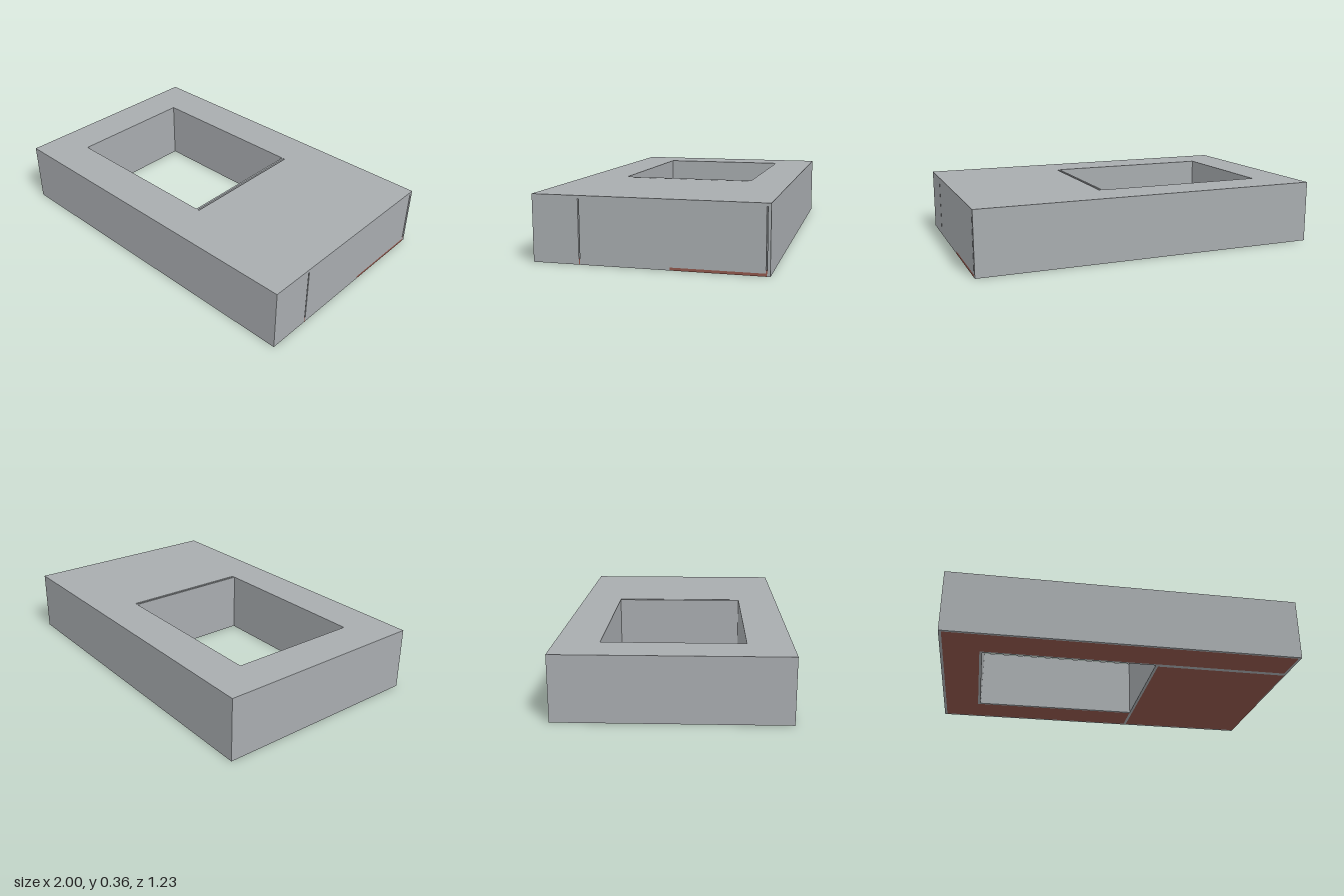
import * as THREE from 'three';

const grey = new THREE.MeshStandardMaterial({ color: 0xa8acaf });
grey.name = 'wall grey';
const brown = new THREE.MeshStandardMaterial({ color: 0x91574c });
brown.name = 'floor brown';

const X = 1, Z = 0.617;      // half extents of the block
const T = 0.015;             // wall and floor thickness
const ROOF = 0.34, TOP = 0.357;
const SEAM = 0.006;          // width and inset of the side panel seams
const SEAMS = [-0.602, 0.36];

// Turns a plan outline of [x, z] points into shape points.
// Every outline runs the same way round; holes are reversed so they face inward.
const plan = (points) => points.map(([x, z]) => new THREE.Vector2(x, -z));
const rect = (x0, x1, z0, z1) => [[x0, z0], [x1, z0], [x1, z1], [x0, z1]];

// Raises a plan outline, with optional holes, from y0 to y1
function slab(name, material, outline, holes, y0, y1) {
  const shape = new THREE.Shape(plan(outline));
  holes.forEach((h) => shape.holes.push(new THREE.Path(plan(h).reverse())));
  const geometry = new THREE.ExtrudeGeometry(shape, { depth: y1 - y0, bevelEnabled: false });
  geometry.rotateX(-Math.PI / 2).translate(0, y0, 0);
  const mesh = new THREE.Mesh(geometry, material);
  mesh.name = name;
  return mesh;
}

export function createModel() {
  const group = new THREE.Group();
  group.name = 'courtyardBlock';

  const courtyard = rect(-0.77, 0.214, -0.38, 0.38);
  const roofSlot = rect(0.225, 0.235, -0.38, 0.38);

  // Floor of the main room; parts of its edge show on the side face
  const roomFloor = [
    [0.23, -0.6], [X, -0.6], [X, -0.115], [X - SEAM, -0.115],
    [X - SEAM, 0.36], [X, 0.36], [X, 0.366], [0.23, 0.366],
  ];

  // Floor wrapping the other three sides of the courtyard
  const wingFloor = [
    [-X + T, -Z + T], [0.214, -Z + T], [0.214, -0.395], [-0.785, -0.395],
    [-0.785, 0.395], [X - T, 0.395], [X - T, Z - T], [-X + T, Z - T],
  ];

  // Wall feet surrounding the floors, open where the room floor meets the side
  const feet = [
    [-X, -Z], [X, -Z], [X, -0.6], [0.23, -0.6],
    [0.23, 0.366], [X, 0.366], [X, Z], [-X, Z],
  ];
  group.add(slab('wallFeet', grey, feet, [courtyard, wingFloor], 0, T));
  group.add(slab('sidePanelFoot', grey, rect(X - SEAM, X, -0.115, 0.36), [], 0, T));
  group.add(slab('roomFloor', brown, roomFloor, [], 0, T));
  group.add(slab('wingFloor', brown, wingFloor, [], 0, T));

  // Walls, with two narrow upright seams in the side panel
  const walls = [[-X, -Z], [X, -Z]];
  for (const z of SEAMS) {
    walls.push([X, z], [X - 0.02, z], [X - 0.02, z + SEAM], [X, z + SEAM]);
    group.add(slab('seamFoot', brown, rect(X - 0.02, X, z, z + SEAM), [], T, 0.03));
  }
  walls.push([X, Z], [-X, Z]);
  group.add(slab('walls', grey, walls, [courtyard], T, ROOF));

  // Roof, with a slot beside the courtyard's end wall
  group.add(slab('roof', grey, rect(-X, X, -Z, Z), [courtyard, roofSlot], ROOF, TOP));

  return group;
}
